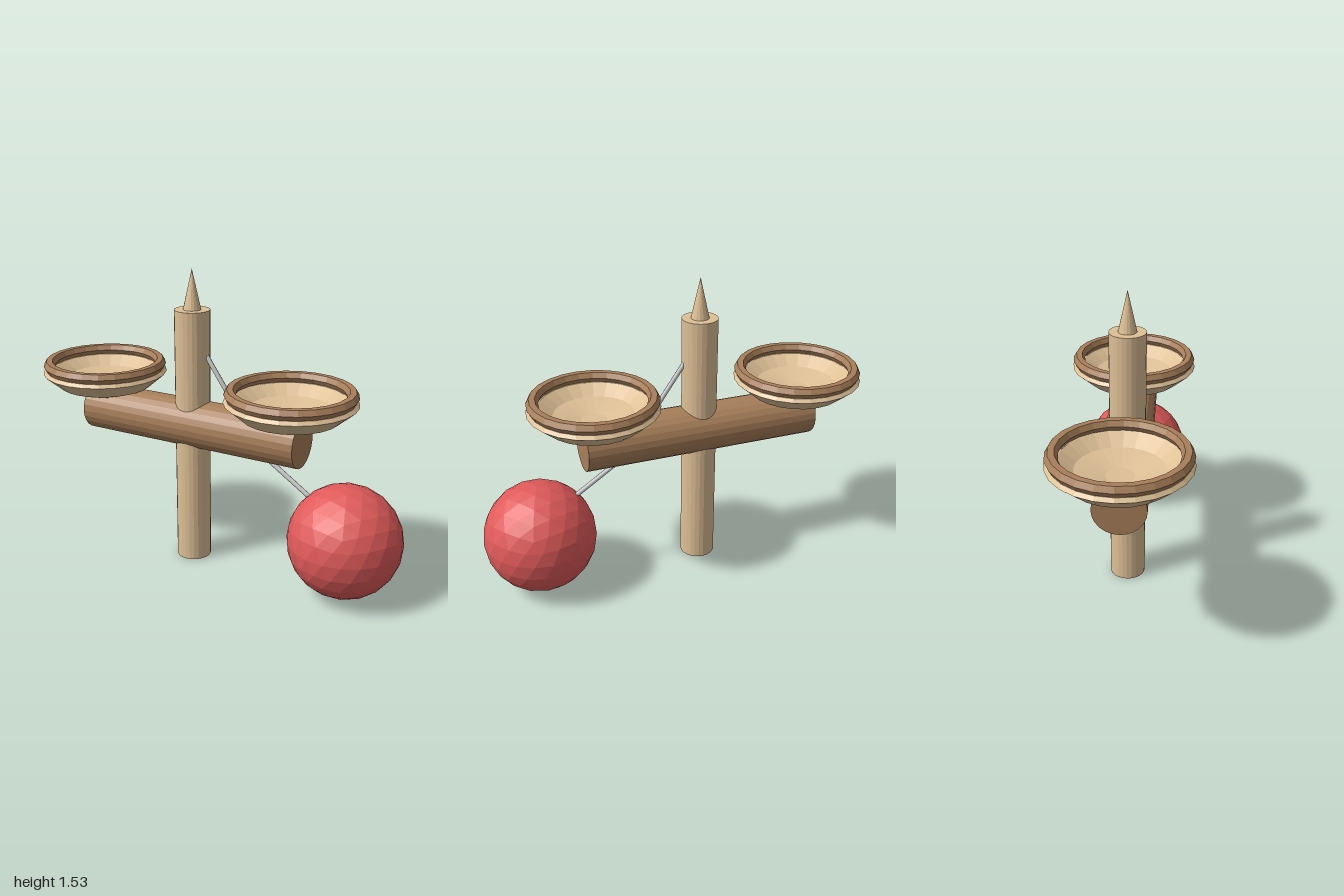
import * as THREE from 'three';

const material = (color, extra = {}) =>
  new THREE.MeshStandardMaterial({ color, flatShading: true, ...extra });

function part(name, geometry, mat, x, y) {
  const mesh = new THREE.Mesh(geometry, mat);
  mesh.name = name;
  mesh.position.set(x, y, 0);
  return mesh;
}

export function createModel() {
  const group = new THREE.Group();
  group.name = 'cupAndBallToy';
  const paleWood = material(0xdec096);
  const bowlWood = material(0xdec096, { side: THREE.DoubleSide });
  const darkWood = material(0xa87f5a);
  const red = material(0xe05a5a);
  const cordGrey = material(0xcccccc, { flatShading: false });
  const handleX = -0.133;

  // Upright handle with its spike
  group.add(part('handle', new THREE.CylinderGeometry(0.089, 0.089, 1.328, 24), paleWood, handleX, 0.664));
  group.add(part('spike', new THREE.ConeGeometry(0.045, 0.2, 16), paleWood, handleX, 1.428));

  // Horizontal crossbar
  const bar = new THREE.CylinderGeometry(0.123, 0.123, 1.215, 24).rotateZ(Math.PI / 2);
  group.add(part('crossbar', bar, darkWood, -0.1315, 0.74));

  // Shallow cups: outer wall up to the lip, then the hollow back to the centre
  const profile = [
    [0, 0.805], [0.07, 0.806], [0.24, 0.865], [0.325, 0.938],
    [0.31, 0.955], [0.27, 0.955], [0.2, 0.908], [0.065, 0.878], [0, 0.876],
  ].map(([r, y]) => new THREE.Vector2(r, y));
  const bowl = new THREE.LatheGeometry(profile, 24);
  const rim = new THREE.TorusGeometry(0.292, 0.03, 6, 24).rotateX(Math.PI / 2);
  for (const [side, x] of [['right', -0.675], ['left', 0.41]]) {
    const cup = new THREE.Group();
    cup.name = side + 'Cup';
    cup.add(part(side + 'Bowl', bowl, bowlWood, x, 0));
    cup.add(part(side + 'Rim', rim, darkWood, x, 0.979));
    group.add(cup);
  }

  // Ball, turned so a corner points straight up
  const ball = new THREE.IcosahedronGeometry(0.282, 3).rotateZ(-0.5536);
  group.add(part('ball', ball, red, 0.716, 0.285));

  // Cord from the handle to the ball, bending inside the crossbar
  const knots = [[-0.06, 1.115], [0.265, 0.645], [0.54, 0.463]].map(([x, y]) => new THREE.Vector3(x, y, 0));
  const cord = new THREE.Group();
  cord.name = 'cord';
  for (const [name, i] of [['upperCord', 0], ['lowerCord', 1]]) {
    const line = new THREE.LineCurve3(knots[i], knots[i + 1]);
    cord.add(part(name, new THREE.TubeGeometry(line, 1, 0.012, 8), cordGrey, 0, 0));
  }
  group.add(cord);

  return group;
}
